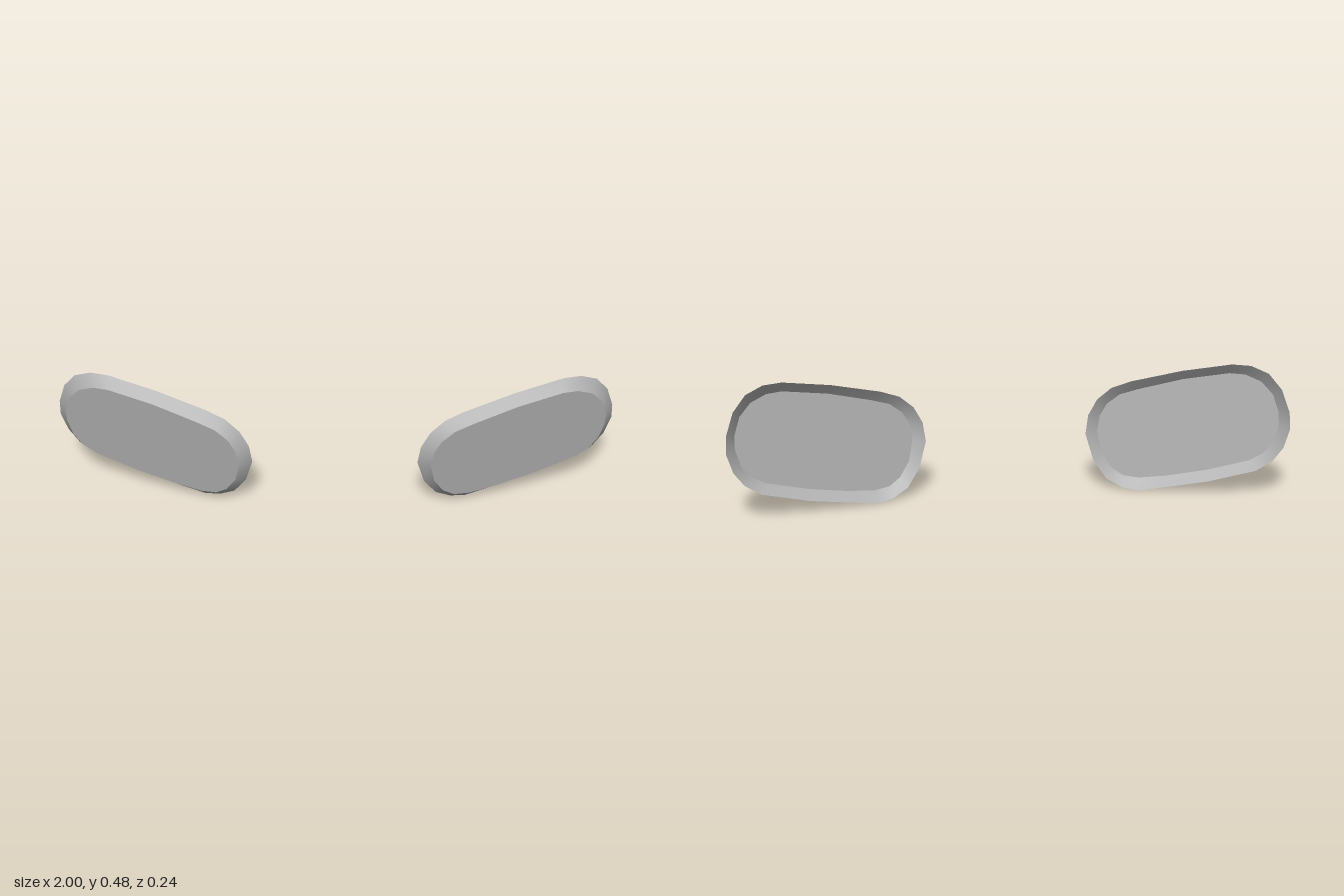
import * as THREE from 'three';

// Each entry pairs a rim point with its matching face point: [rimX, rimY, faceX, faceY]
const OUTLINE = [
  [0.293, 0.20, 0.34, 0.20], [0.303, 0.27, 0.35, 0.26], [0.335, 0.33, 0.375, 0.305],
  [0.385, 0.375, 0.42, 0.342], [0.455, 0.403, 0.485, 0.365], [0.63, 0.45, 0.64, 0.41],
  [0.80, 0.482, 0.80, 0.44], [0.865, 0.48, 0.855, 0.438], [0.925, 0.455, 0.91, 0.415],
  [0.97, 0.40, 0.95, 0.37], [0.997, 0.32, 0.97, 0.305], [1.0, 0.26, 0.97, 0.26],
  [0.978, 0.19, 0.953, 0.20], [0.942, 0.14, 0.92, 0.155], [0.885, 0.10, 0.87, 0.125],
  [0.72, 0.05, 0.72, 0.08], [0.565, 0.018, 0.58, 0.05], [0.475, 0.0, 0.485, 0.037],
  [0.42, 0.01, 0.43, 0.043], [0.365, 0.04, 0.39, 0.07], [0.32, 0.105, 0.355, 0.125],
];
const RIM_DEPTH = 0.036;

// Tilted, swept-back plane in which the face lies
const planeZ = (x, y) => 0.19 - 0.31 * Math.abs(x) + 0.136 * y;

// Flat front face
function faceGeometry(points) {
  const shape = new THREE.Shape(points.map((p) => new THREE.Vector2(p[2], p[3])));
  const geometry = new THREE.ShapeGeometry(shape);
  const pos = geometry.attributes.position;
  for (let i = 0; i < pos.count; i++) pos.setZ(i, planeZ(pos.getX(i), pos.getY(i)));
  geometry.computeVertexNormals();
  return geometry;
}

// Smooth sloping band from the face back to the open rim
function rimGeometry(points) {
  const positions = [];
  const indices = [];
  const n = points.length;
  points.forEach(([ox, oy, fx, fy], i) => {
    positions.push(ox, oy, planeZ(ox, oy) - RIM_DEPTH, fx, fy, planeZ(fx, fy));
    const a = i * 2;
    const b = ((i + 1) % n) * 2;
    indices.push(a, a + 1, b + 1, a, b + 1, b);
  });
  const geometry = new THREE.BufferGeometry();
  geometry.setAttribute('position', new THREE.Float32BufferAttribute(positions, 3));
  geometry.setIndex(indices);
  geometry.computeVertexNormals();
  return geometry;
}

export function createModel() {
  const model = new THREE.Group();
  model.name = 'lensPair';
  const grey = new THREE.MeshStandardMaterial({ color: 0xb0b0b0, side: THREE.DoubleSide });
  grey.name = 'grey';

  for (const side of [1, -1]) {
    const points = OUTLINE.map(([ox, oy, fx, fy]) => [side * ox, oy, side * fx, fy]);
    if (side < 0) points.reverse(); // keep the faces turned forward
    const lens = new THREE.Group();
    lens.name = side > 0 ? 'leftLens' : 'rightLens';
    const face = new THREE.Mesh(faceGeometry(points), grey);
    face.name = 'lensFace';
    const rim = new THREE.Mesh(rimGeometry(points), grey);
    rim.name = 'lensRim';
    lens.add(face, rim);
    model.add(lens);
  }
  return model;
}
